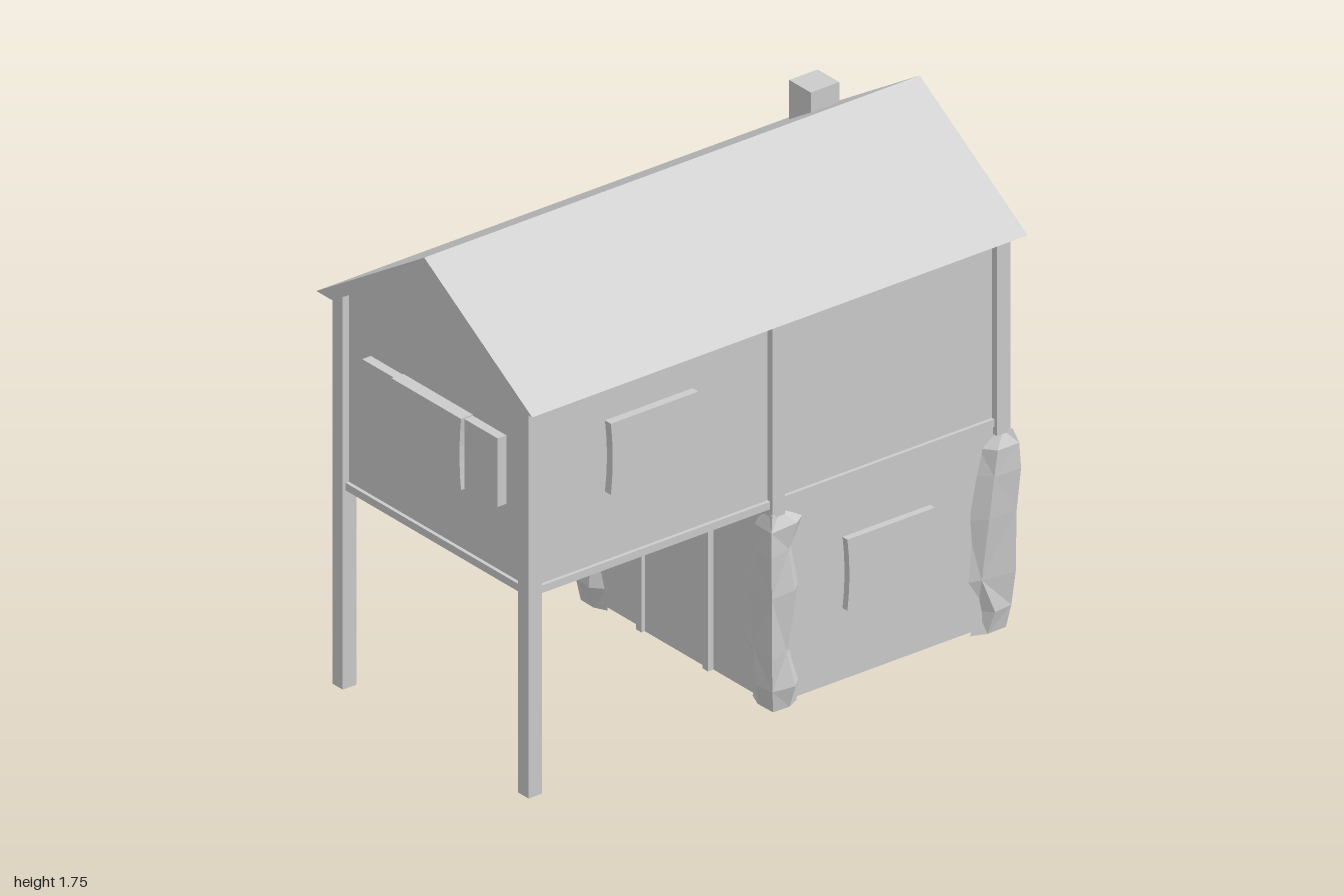
import * as THREE from 'three';

const grey = new THREE.MeshStandardMaterial({ color: 0xcccccc, flatShading: true, side: THREE.DoubleSide });

function add(parent, name, geometry) {
  const mesh = new THREE.Mesh(geometry, grey);
  mesh.name = name;
  parent.add(mesh);
  return mesh;
}

// Box given by its limits on each axis
function box(parent, name, x0, x1, y0, y1, z0, z1) {
  const mesh = add(parent, name, new THREE.BoxGeometry(x1 - x0, y1 - y0, z1 - z0));
  mesh.position.set((x0 + x1) / 2, (y0 + y1) / 2, (z0 + z1) / 2);
  return mesh;
}

function polygon(points) {
  return new THREE.Shape(points.map(([x, y]) => new THREE.Vector2(x, y)));
}

// Extrude a (z, y) profile along x, centred
function alongX(points, length) {
  const g = new THREE.ExtrudeGeometry(polygon(points), { depth: length, bevelEnabled: false });
  return g.translate(0, 0, -length / 2).rotateY(-Math.PI / 2);
}

// Window slab with slightly pinched sides
function windowSlab(parent, name, x, y, z, angle) {
  const w = 0.177, h = 0.127, pinch = 0.016;
  const s = new THREE.Shape();
  s.moveTo(-w, -h);
  s.lineTo(w, -h);
  s.quadraticCurveTo(w - pinch, 0, w, h);
  s.lineTo(-w, h);
  s.quadraticCurveTo(-w + pinch, 0, -w, -h);
  const g = new THREE.ExtrudeGeometry(s, { depth: 0.07, bevelEnabled: false, curveSegments: 5 });
  const mesh = add(parent, name, g.translate(0, 0, -0.07));
  mesh.position.set(x, y, z);
  mesh.rotation.y = angle;
}

// Rough corner stone wrapped around a wall corner at the origin (walls run to -x and -z)
function stoneGeometry() {
  // height, front reach, side reach, front bulge, corner bulge, side bulge
  const rows = [
    [0.00, 0.12, 0.10, 0.012, 0.010, 0.012],
    [0.08, 0.09, 0.11, 0.030, 0.022, 0.034],
    [0.20, 0.165, 0.08, 0.014, 0.032, 0.012],
    [0.42, 0.14, 0.11, 0.034, 0.034, 0.030],
    [0.57, 0.11, 0.08, 0.040, 0.044, 0.022],
    [0.66, 0.085, 0.13, 0.040, 0.040, 0.030],
    [0.71, 0.01, 0.03, 0.015, 0.025, 0.010],
  ];
  const rings = rows.map(([y, a, b, f, c, s]) => [
    [-a, y, -0.01], [-a * 0.55, y, f], [c, y, c],
    [s, y, -b * 0.55], [-0.01, y, -b], [-0.02, y, -0.02],
  ]);
  const n = 6, pos = [];
  for (let i = 0; i + 1 < rings.length; i++) {
    for (let j = 0; j < n; j++) {
      const k = (j + 1) % n;
      const [a, b, c, d] = [rings[i][j], rings[i][k], rings[i + 1][k], rings[i + 1][j]];
      // alternate the diagonals for chipped facets
      if ((i + j) % 2) pos.push(...a, ...b, ...c, ...a, ...c, ...d);
      else pos.push(...a, ...b, ...d, ...b, ...c, ...d);
    }
  }
  const top = rings[rings.length - 1];
  for (let j = 0; j < n - 1; j++) {
    pos.push(...top[5], ...top[j], ...top[j + 1]);
    pos.push(...rings[0][5], ...rings[0][j + 1], ...rings[0][j]);
  }
  const g = new THREE.BufferGeometry();
  g.setAttribute('position', new THREE.Float32BufferAttribute(pos, 3));
  g.computeVertexNormals();
  return g;
}

export function createModel() {
  const house = new THREE.Group();
  house.name = 'stiltHouse';

  // Roof chevron and chimney
  add(house, 'roof', alongX([
    [-0.55, 1.41], [-0.47, 1.41], [0, 1.7], [0.47, 1.41], [0.55, 1.41], [0, 1.755],
  ], 2));
  box(house, 'chimney', 0.77, 0.885, 1.45, 1.66, -0.375, -0.265);

  // Upper storey with gabled ends
  add(house, 'upperRoom', alongX([
    [-0.475, 0.735], [0.475, 0.735], [0.475, 1.407], [0, 1.7], [-0.475, 1.407],
  ], 1.9));

  // Posts: the left pair reaches the ground, the others rest on the stones
  const frame = new THREE.Group();
  frame.name = 'timberFrame';
  house.add(frame);
  for (const side of [-1, 1]) {
    const z0 = side > 0 ? 0.447 : -0.5;
    box(frame, 'longPost', -0.975, -0.92, 0.02, 1.43, z0, z0 + 0.053);
    box(frame, 'middlePost', 0.01, 0.06, 0.7, 1.43, z0, z0 + 0.053);
    box(frame, 'cornerPost', 0.915, 0.97, 0.7, 1.43, z0, z0 + 0.053);
    // Floor beams
    const b0 = side > 0 ? 0.46 : -0.488;
    box(frame, 'longBeam', -0.95, 0.95, 0.728, 0.755, b0, b0 + 0.028);
    const e0 = side > 0 ? 0.935 : -0.963;
    box(frame, 'endBeam', e0, e0 + 0.028, 0.728, 0.755, -0.46, 0.46);
  }

  // Diagonal braces on the back
  for (const [x, dir] of [[0.915, -1], [0.01, -1], [-0.92, 1]]) {
    const brace = add(frame, 'brace', new THREE.BoxGeometry(0.15, 0.022, 0.02));
    brace.position.set(x + dir * 0.05, 1.355, -0.482);
    brace.rotation.z = dir * Math.PI / 4;
  }

  // Lower storey: four walls, open underneath
  const X0 = 0.03, X1 = 0.95, Z = 0.48, t = 0.03;
  const plan = polygon([[X0, -Z], [X1, -Z], [X1, Z], [X0, Z]]);
  plan.holes.push(polygon([[X0 + t, -Z + t], [X0 + t, Z - t], [X1 - t, Z - t], [X1 - t, -Z + t]]));
  const walls = new THREE.ExtrudeGeometry(plan, { depth: 0.715, bevelEnabled: false });
  add(house, 'lowerWalls', walls.rotateX(-Math.PI / 2).translate(0, 0.02, 0));

  // Door under the overhang
  const door = new THREE.Group();
  door.name = 'door';
  house.add(door);
  box(door, 'doorPanel', 0.022, 0.068, 0.02, 0.6, -0.17, 0.16);
  for (const z of [-0.18, 0.16]) box(door, 'doorJamb', 0.008, 0.075, 0.02, 0.62, z - 0.014, z + 0.014);
  box(door, 'doorLintel', 0.008, 0.075, 0.595, 0.62, -0.18, 0.16);

  // Windows
  windowSlab(house, 'frontUpperWindow', -0.47, 1.127, 0.505, 0);
  windowSlab(house, 'frontLowerWindow', 0.485, 0.402, 0.505, 0);
  windowSlab(house, 'backWindow', 0.485, 1.127, -0.505, Math.PI);
  windowSlab(house, 'leftWindow', 0.998, 1.127, 0.008, Math.PI / 2);
  windowSlab(house, 'rightWindow', -0.998, 1.127, 0.008, -Math.PI / 2);
  for (const z of [-0.25, 0.27]) box(house, 'shutter', -0.985, -0.94, 1.005, 1.25, z - 0.085, z + 0.085);

  // Corner stones, one shape turned a quarter at each corner
  const stone = stoneGeometry();
  [[X1, Z], [X1, -Z], [X0, -Z], [X0, Z]].forEach(([x, z], i) => {
    const mesh = add(house, 'cornerStone', stone);
    mesh.position.set(x, 0, z);
    mesh.rotation.y = i * Math.PI / 2;
  });

  return house;
}
